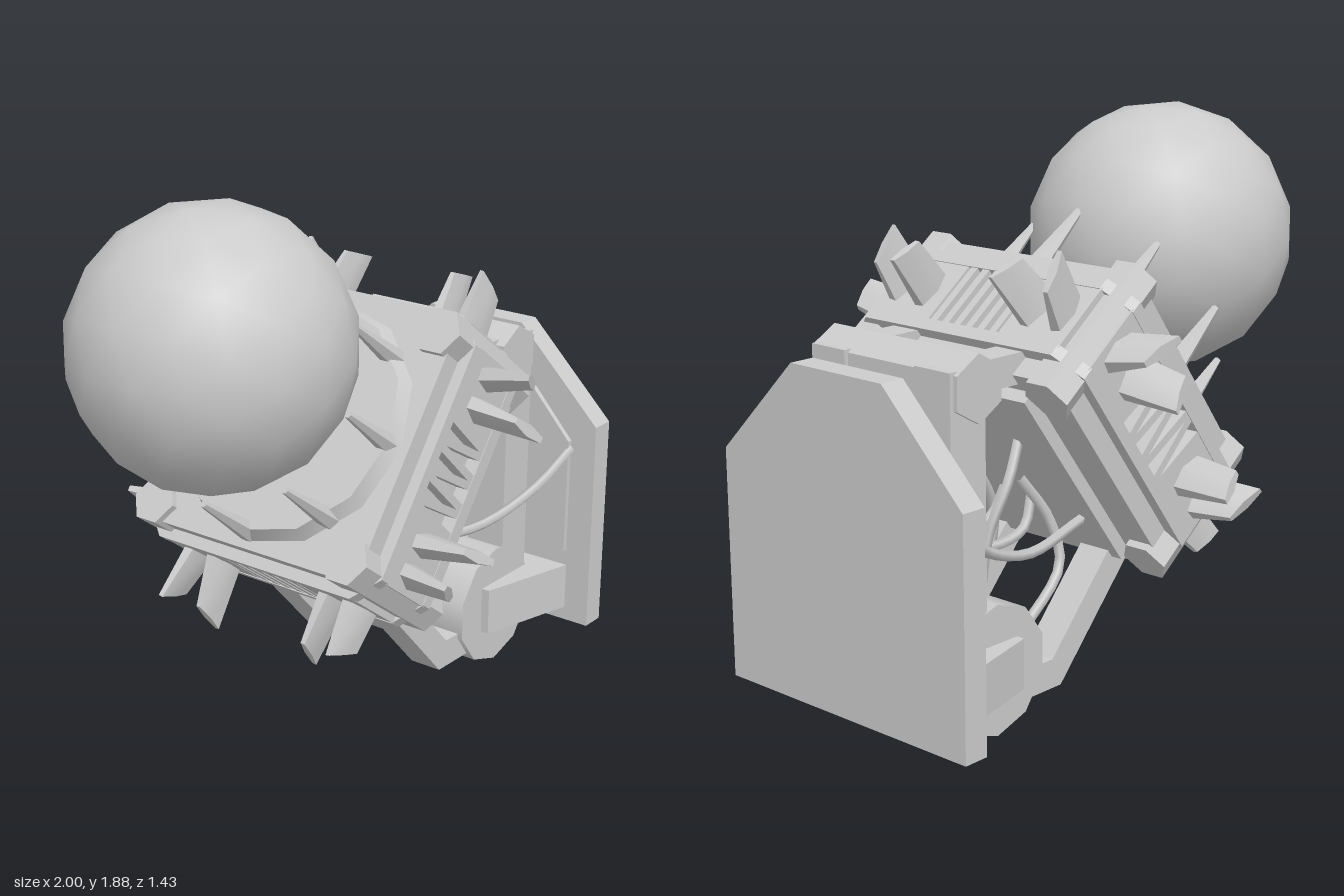
import * as THREE from 'three';
import { toCreasedNormals } from 'three/addons/utils/BufferGeometryUtils.js';

const material = new THREE.MeshStandardMaterial({ color: 0xcccccc });

function add(parent, name, geometry, x = 0, y = 0, z = 0) {
  const mesh = new THREE.Mesh(geometry, material);
  mesh.name = name;
  mesh.position.set(x, y, z);
  parent.add(mesh);
  return mesh;
}

const box = (w, h, d) => new THREE.BoxGeometry(w, h, d);
const prism = (top, bottom, h, sides) =>
  toCreasedNormals(new THREE.CylinderGeometry(top, bottom, h, sides), 0.8);

// Straight extrusion of an outline along z
function extrude(points, depth) {
  const shape = new THREE.Shape(points.map(([x, y]) => new THREE.Vector2(x, y)));
  return new THREE.ExtrudeGeometry(shape, { depth, bevelEnabled: false });
}

// Square slab with cut corners, lying in x/z, from y0 to y1
function cutSlab(h, cut, y0, y1) {
  return extrude([
    [h, -h + cut], [h, h - cut], [h - cut, h], [-h + cut, h],
    [-h, h - cut], [-h, -h + cut], [-h + cut, -h], [h - cut, -h],
  ], y1 - y0).rotateX(-Math.PI / 2).translate(0, y0, 0);
}

// Broad jagged blade standing on y = 0: thin along z, with a slanted tip
function bladeGeometry(width, thickness, height, slant) {
  const g = new THREE.CylinderGeometry(1, 1, 1, 6);
  const p = g.attributes.position;
  for (let i = 0; i < p.count; i++) {
    const top = p.getY(i) > 0;
    const x = p.getX(i) * width * (top ? 0.85 : 1);
    p.setXYZ(i, x, top ? height + x * slant : 0, p.getZ(i) * thickness * (top ? 0.45 : 1));
  }
  return toCreasedNormals(g, 0.7);
}

// One wall of the housing, facing +x: vents between two blocks with blades
function buildSide(crooked) {
  const side = new THREE.Group();
  side.name = crooked ? 'longSide' : 'endSide';
  const count = crooked ? 7 : 6;
  for (let i = 0; i < count; i++) {
    const fin = add(side, 'ventFin', box(0.07, 0.27, 0.028),
      0.462, 0, (i - (count - 1) / 2) * 0.052);
    if (crooked) fin.rotation.x = (i % 2 ? 1 : -1) * 0.12;
  }
  for (const t of [-1, 1]) {
    add(side, 'sideBlock', box(0.1, 0.26, 0.26), 0.447, 0, t * 0.285);
    for (const [z, h, lean, slant] of [[0.24, 0.215, 0.08, 0.4], [0.35, 0.185, -0.12, -0.5]]) {
      const width = crooked ? 0.045 : 0.036;
      const blade = add(side, 'blade', bladeGeometry(0.085, width, h, slant), 0.48, 0, t * z);
      blade.rotation.set(t * lean, t * lean, -Math.PI / 2 - lean);
    }
  }
  return side;
}

// Tilted housing: local y points at the ball
function buildHousing() {
  const housing = new THREE.Group();
  housing.name = 'housing';
  housing.position.set(0.06, 0.93, 0);
  housing.rotation.z = Math.atan2(4, 3);

  add(housing, 'housingCore', cutSlab(0.45, 0.09, -0.14, 0.14));
  for (const s of [-1, 1]) {
    const [a, b, c] = s > 0 ? [0.12, 0.165, 0.24] : [-0.165, -0.12, -0.24];
    add(housing, 'beltEdge', cutSlab(0.5, 0.09, a, b));
    add(housing, 'outerRim', cutSlab(0.46, 0.08, Math.min(c, s * 0.16), Math.max(c, s * 0.16)));
  }
  add(housing, 'backSlab', box(0.78, 0.06, 0.66), 0, -0.255, 0);
  add(housing, 'faceDisc', prism(0.41, 0.44, 0.06, 12), 0, 0.26, 0);

  for (let k = 0; k < 4; k++) {
    const side = buildSide(k % 2 === 1);
    side.rotation.y = k * Math.PI / 2;
    housing.add(side);
  }
  for (const s of [-1, 1]) for (const t of [-1, 1])
    add(housing, 'cornerPost', prism(0.085, 0.085, 0.53, 6), s * 0.4, 0, t * 0.41);

  // Ring of claws reaching for the ball
  for (let i = 0; i < 8; i++) {
    const a = i * Math.PI / 4;
    add(housing, 'claw', prism(0.012, 0.038, 0.28, 6), 0.4 * Math.cos(a), 0.38, 0.39 * Math.sin(a));
  }
  return housing;
}

// Wall plate with cut upper corners
function plateGeometry(half, y0, shoulder, topHalf, y1, x0, x1) {
  return extrude([[-half, y0], [half, y0], [half, shoulder],
    [topHalf, y1], [-topHalf, y1], [-half, shoulder]], x1 - x0)
    .rotateY(Math.PI / 2).translate(x0, 0, 0);
}

export function createModel() {
  const model = new THREE.Group();
  model.name = 'wallMountedDevice';

  add(model, 'ball', new THREE.IcosahedronGeometry(0.465, 2), -0.54, 1.425, 0);
  model.add(buildHousing());

  // Wall mount
  add(model, 'wallPlate', plateGeometry(0.53, 0.09, 0.87, 0.2, 1.2, 0.91, 1));
  add(model, 'plateBacking', plateGeometry(0.43, 0.37, 0.8, 0.16, 1.1, 0.89, 0.92));

  // Lower hinge barrel and flared wall arm
  const barrel = add(model, 'hingeBarrel', prism(0.22, 0.22, 0.62, 10), 0.63, 0.22, 0);
  barrel.rotation.x = Math.PI / 2;
  const arm = box(0.38, 0.17, 0.68);
  const p = arm.attributes.position;
  for (let i = 0; i < p.count; i++) if (p.getX(i) > 0) p.setZ(i, p.getZ(i) * 1.28);
  arm.computeVertexNormals();
  add(model, 'wallArm', arm, 0.73, 0.225, 0);

  // Upper hinge
  const hinge = add(model, 'upperHinge', prism(0.11, 0.11, 0.64, 6), 0.71, 1.15, 0);
  hinge.rotation.x = Math.PI / 2;
  add(model, 'innerPanel', box(0.08, 0.66, 0.26), 0.62, 0.72, 0);

  // Paired frame bars and cables
  const lowerArm = extrude([[-0.03, 0.44], [0.31, 0.07], [0.62, 0.07],
    [0.62, 0.17], [0.35, 0.17], [0.05, 0.5]], 0.12);
  const cables = [
    [[0.91, 0.77, 0.43], [0.75, 0.66, 0.39], [0.5, 0.58, 0.33], [0.18, 0.6, 0.26]],
    [[0.36, 0.92, 0.16], [0.46, 0.78, 0.2], [0.53, 0.62, 0.18], [0.55, 0.42, 0.16]],
    [[0.3, 0.74, 0.1], [0.19, 0.58, 0.13], [0.17, 0.42, 0.16], [0.42, 0.24, 0.2]],
    [[0.2, 0.66, 0.06], [0.26, 0.55, 0.08], [0.48, 0.54, 0.1], [0.62, 0.62, 0.1]],
  ];
  for (const s of [-1, 1]) {
    const z = s * 0.23;
    add(model, 'upperArm', box(0.38, 0.1, 0.11), 0.56, 1.17, z);
    add(model, 'framePost', box(0.15, 0.95, 0.15), 0.745, 0.74, z);
    add(model, 'lowerArm', lowerArm, 0, 0, z - 0.06);
    for (const c of cables) {
      const path = new THREE.CatmullRomCurve3(
        c.map(([x, y, cz]) => new THREE.Vector3(x, y, s * cz)));
      add(model, 'cable', new THREE.TubeGeometry(path, 12, 0.018, 5));
    }
  }
  return model;
}
